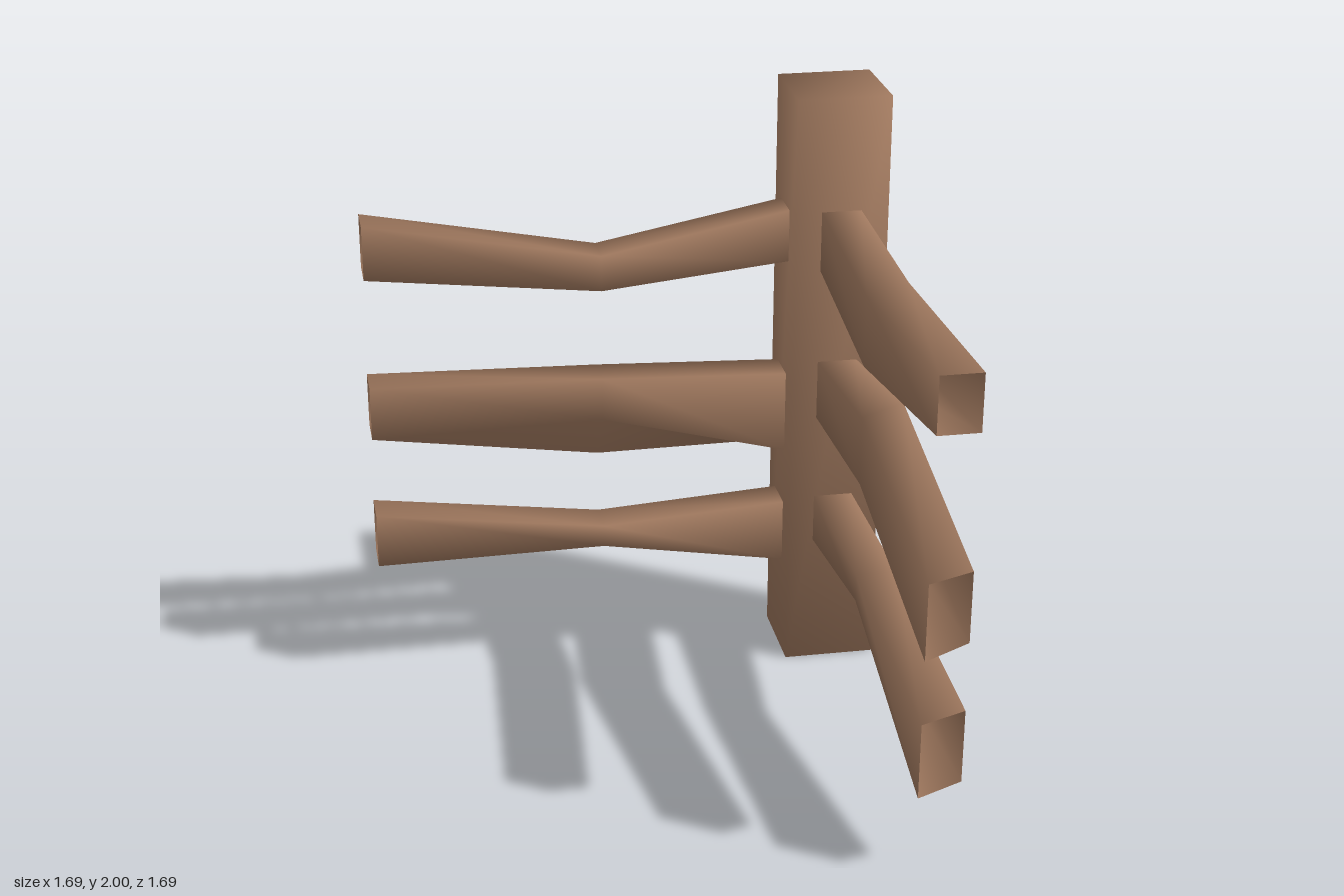
import * as THREE from 'three';
import { mergeVertices } from 'three/addons/utils/BufferGeometryUtils.js';

const wood = new THREE.MeshStandardMaterial({ color: 0x9f785e, side: THREE.DoubleSide });
wood.name = 'brown wood';

// Open hollow rail running along z; each section is
// [z, bottom at low x, bottom at high x, top at high x, top at low x]
function railGeometry(sections) {
  const xs = [0.625, 0.755, 0.755, 0.625];
  const positions = [];
  const index = [];
  for (const [z, ...heights] of sections) {
    heights.forEach((y, k) => positions.push(xs[k], y, z));
  }
  for (let i = 0; i < sections.length - 1; i++) {
    for (let k = 0; k < 4; k++) {
      const a = i * 4 + k;
      const b = i * 4 + ((k + 1) % 4);
      index.push(a, b, b + 4, a, b + 4, a + 4);
    }
  }
  const g = new THREE.BufferGeometry();
  g.setAttribute('position', new THREE.Float32BufferAttribute(positions, 3));
  g.setIndex(index);
  g.computeVertexNormals();
  return g;
}

// Box with shared corners, shaded smoothly across its edges
function postGeometry() {
  const box = new THREE.BoxGeometry(0.305, 2, 0.305);
  box.deleteAttribute('uv');
  box.deleteAttribute('normal');
  const g = mergeVertices(box);
  const p = g.attributes.position;
  const normals = [];
  for (let i = 0; i < p.count; i++) {
    const n = new THREE.Vector3(Math.sign(p.getX(i)), Math.sign(p.getY(i)), Math.sign(p.getZ(i))).normalize();
    normals.push(n.x, n.y, n.z);
  }
  g.setAttribute('normal', new THREE.Float32BufferAttribute(normals, 3));
  return g;
}

export function createModel() {
  const model = new THREE.Group();
  model.name = 'cornerFence';

  const post = new THREE.Mesh(postGeometry(), wood);
  post.name = 'cornerPost';
  post.position.set(0.6925, 1, -0.6925);
  model.add(post);

  // Rails running to the front, listed from top to bottom
  const frontRails = [
    [[-0.545, 1.425, 1.425, 1.625, 1.625], [0.05, 1.33, 1.36, 1.595, 1.56], [0.845, 1.45, 1.45, 1.63, 1.63]],
    [[-0.545, 0.905, 0.905, 1.105, 1.105], [0.05, 0.935, 0.955, 1.2, 1.16], [0.845, 0.74, 0.79, 1.02, 0.99]],
    [[-0.545, 0.45, 0.45, 0.615, 0.615], [0.05, 0.525, 0.515, 0.62, 0.615], [0.845, 0.28, 0.325, 0.565, 0.53]],
  ];
  // Rails running to the side, laid out along z and turned a quarter
  const sideRails = [
    [[-0.545, 1.425, 1.43, 1.605, 1.605], [0.08, 1.33, 1.365, 1.485, 1.485], [0.845, 1.45, 1.45, 1.63, 1.63]],
    [[-0.545, 0.735, 0.75, 1.03, 1.03], [0.08, 0.73, 0.91, 1.055, 1.055], [0.845, 0.895, 0.895, 1.075, 1.075]],
    [[-0.545, 0.305, 0.335, 0.555, 0.555], [0.08, 0.425, 0.44, 0.515, 0.515], [0.845, 0.43, 0.43, 0.615, 0.615]],
  ];
  const levels = ['upper', 'middle', 'lower'];
  levels.forEach((level, i) => {
    const front = new THREE.Mesh(railGeometry(frontRails[i]), wood);
    front.name = level + 'FrontRail';
    const side = new THREE.Mesh(railGeometry(sideRails[i]), wood);
    side.name = level + 'SideRail';
    side.rotation.y = -Math.PI / 2;
    side.position.z = -1.39;
    model.add(front, side);
  });
  return model;
}
